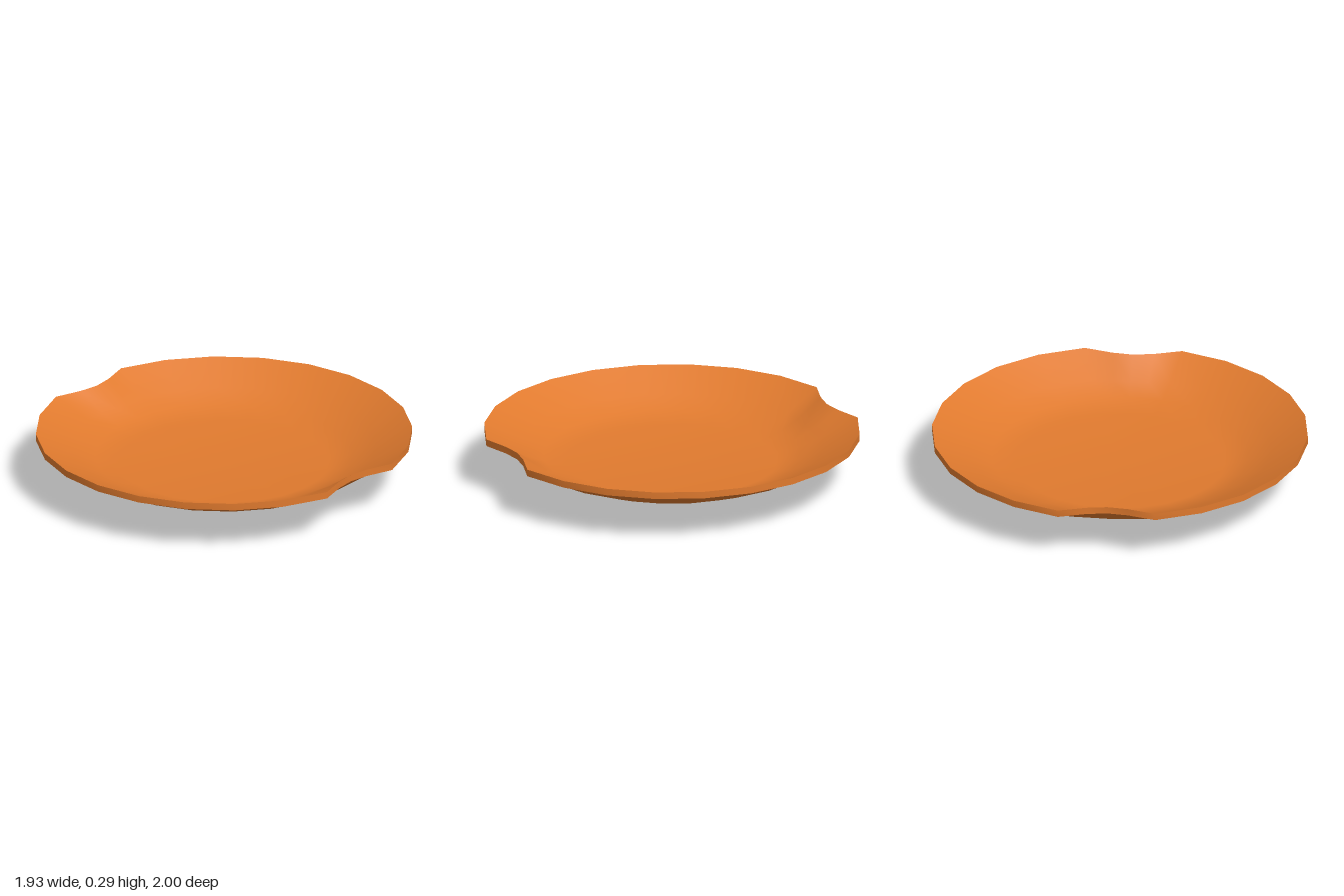
import * as THREE from 'three';

const RAD = Math.PI / 180;

// 24 even columns, plus one extra either side of each grip notch
const angles = [];
for (let a = 0; a < 360; a += 15) angles.push(a);
angles.push(6.8, 173.2, 186.8, 353.2);
angles.sort((a, b) => a - b);

// Rings: [radius, height, radius at notch centre (optional), radius at notch shoulder]
const RIM_TOP = [1, 0.287, 0.905, 0.927];
const RIM_BOTTOM = [1, 0.25, 0.905, 0.927];

// Radius of a ring at an angle, pulled in around the two side notches
function ringRadius([r, , mid, shoulder], deg) {
  const a = deg % 180;
  const off = Math.min(a, 180 - a); // degrees away from the x axis
  if (mid !== undefined && off < 1) return mid;
  if (off > 1 && off < 14) {
    if (shoulder !== undefined) return shoulder;
    return r * Math.cos(7.5 * RAD) / Math.cos((off - 7.5) * RAD);
  }
  return r;
}

// Skin a list of rings into one smooth surface
function ringSurface(name, rings, material) {
  const n = angles.length;
  const positions = [];
  const index = [];
  for (const ring of rings) {
    for (const deg of angles) {
      const r = ringRadius(ring, deg);
      positions.push(r * Math.cos(deg * RAD), ring[1], r * Math.sin(deg * RAD));
    }
  }
  for (let j = 0; j < rings.length - 1; j++) {
    for (let i = 0; i < n; i++) {
      const k = (i + 1) % n;
      const a = j * n + i, b = j * n + k, c = a + n, d = b + n;
      if (rings[j][0] > 0) index.push(a, b, c);
      if (rings[j + 1][0] > 0) index.push(b, d, c);
    }
  }
  const geometry = new THREE.BufferGeometry();
  geometry.setAttribute('position', new THREE.Float32BufferAttribute(positions, 3));
  geometry.setIndex(index);
  geometry.computeVertexNormals();
  const mesh = new THREE.Mesh(geometry, material);
  mesh.name = name;
  return mesh;
}

export function createModel() {
  const group = new THREE.Group();
  group.name = 'notchedBowl';
  const clay = new THREE.MeshStandardMaterial({ color: 0xe07a2e });

  // Dished inside, from the flat floor out to the rim
  group.add(ringSurface('bowlInside', [
    [0, 0.108],
    [0.56, 0.108],
    [0.685, 0.142],
    [0.805, 0.19, 0.777, 0.783],
    RIM_TOP,
  ], clay));

  // Thin upright edge of the rim
  group.add(ringSurface('rimEdge', [RIM_TOP, RIM_BOTTOM], clay));

  // Lip and rounded underside down to the small foot
  group.add(ringSurface('bowlUnderside', [
    RIM_BOTTOM,
    [0.942, 0.245, 0.88, 0.892],
    [0.805, 0.16, 0.79, 0.79],
    [0.597, 0.078],
    [0.262, 0],
    [0, 0],
  ], clay));

  return group;
}
